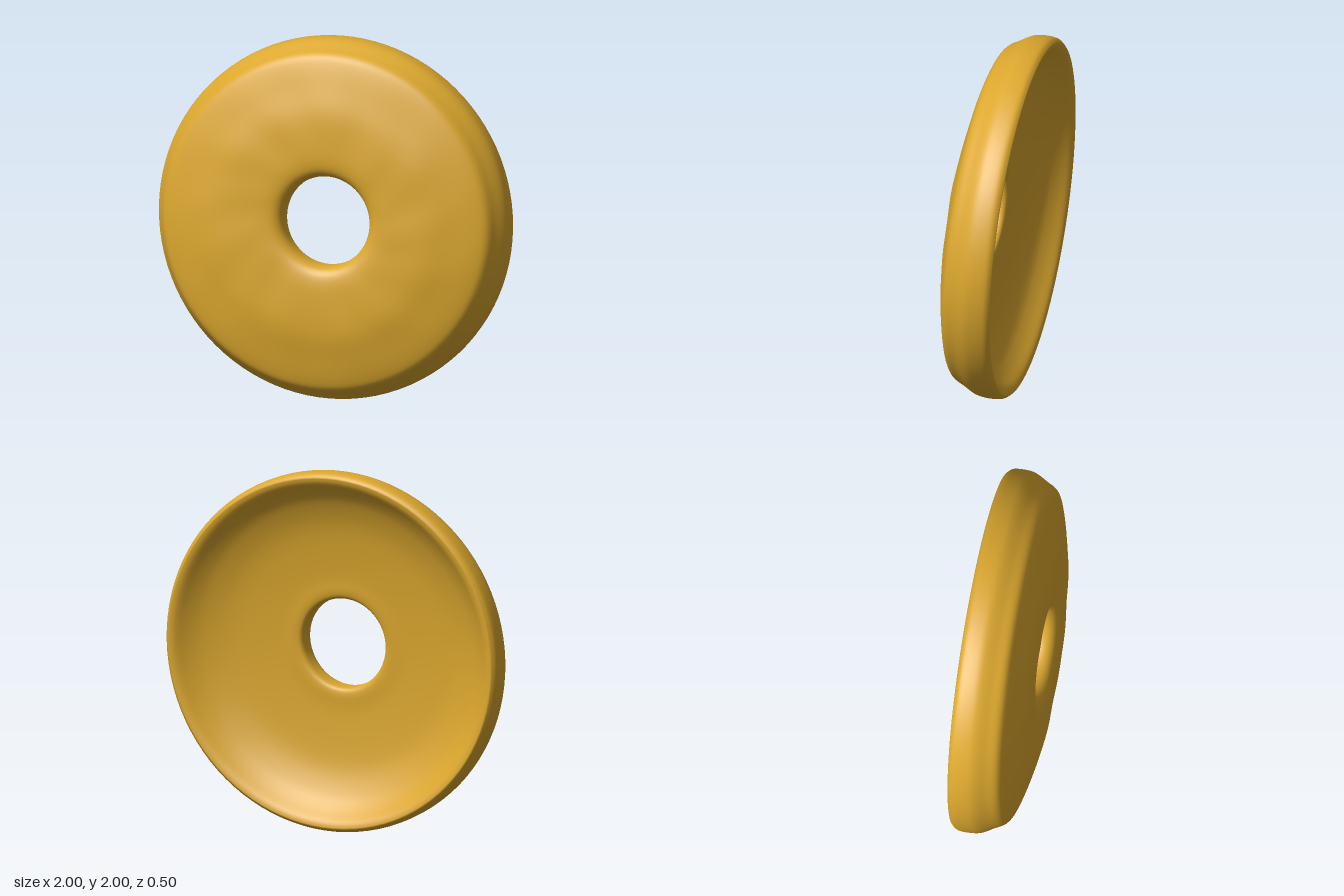
import * as THREE from 'three';
import { mergeVertices } from 'three/addons/utils/BufferGeometryUtils.js';

export function createModel() {
  const group = new THREE.Group();
  const gold = new THREE.MeshStandardMaterial({ color: 0xdba72e });
  gold.name = 'gold';

  // Closed cross-section (radius, depth): rim, front face, hole, hollow back
  const section = [
    [0.975, 0], [0.997, 0.03], [1.0, 0.1], [0.99, 0.15], [0.957, 0.21],
    [0.925, 0.265], [0.87, 0.293], [0.75, 0.325], [0.6, 0.358], [0.42, 0.366],
    [0.32, 0.36], [0.272, 0.34], [0.25, 0.305], [0.247, 0.25], [0.253, 0.21],
    [0.29, 0.195], [0.4, 0.193], [0.65, 0.165], [0.8, 0.115], [0.88, 0.065],
    [0.94, 0.012], [0.975, 0],
  ].map(([r, d]) => new THREE.Vector2(r, d));
  const profile = new THREE.SplineCurve(section).getPoints(84);
  profile[profile.length - 1].copy(profile[0]);

  let ring = new THREE.LatheGeometry(profile, 96);
  ring.rotateX(Math.PI / 2);

  // Hand-worked irregularities: off-centre hole, thicker lower half, faint ripples
  const pos = ring.attributes.position;
  for (let i = 0; i < pos.count; i++) {
    const x = pos.getX(i), y = pos.getY(i), z = pos.getZ(i);
    const r = Math.hypot(x, y), a = Math.atan2(y, x);
    const shift = THREE.MathUtils.clamp((0.65 - r) / 0.35, 0, 1);
    const fade = z > 0.27 && r > 0.27 ? Math.max(0, Math.sin(Math.PI * (r - 0.27) / 0.66)) : 0;
    const ripple = 0.002 * fade * (Math.sin(7 * a + 5 * r) + 0.6 * Math.sin(13 * a - 9 * r));
    pos.setXYZ(i, x + 0.014 * shift, y + 0.015 * shift, z * (1 - 0.06 * y) + ripple);
  }

  // Weld the seams so the shading runs smoothly all around
  ring.deleteAttribute('uv');
  ring.deleteAttribute('normal');
  ring = mergeVertices(ring, 1e-4);
  ring.computeVertexNormals();

  // Slightly tilted, hollow-backed ring
  const disc = new THREE.Mesh(ring, gold);
  disc.name = 'hollowRing';
  disc.rotation.set(-0.055, -0.065, 0);
  disc.position.set(0.005, 0.996, -0.165);
  group.add(disc);
  return group;
}
